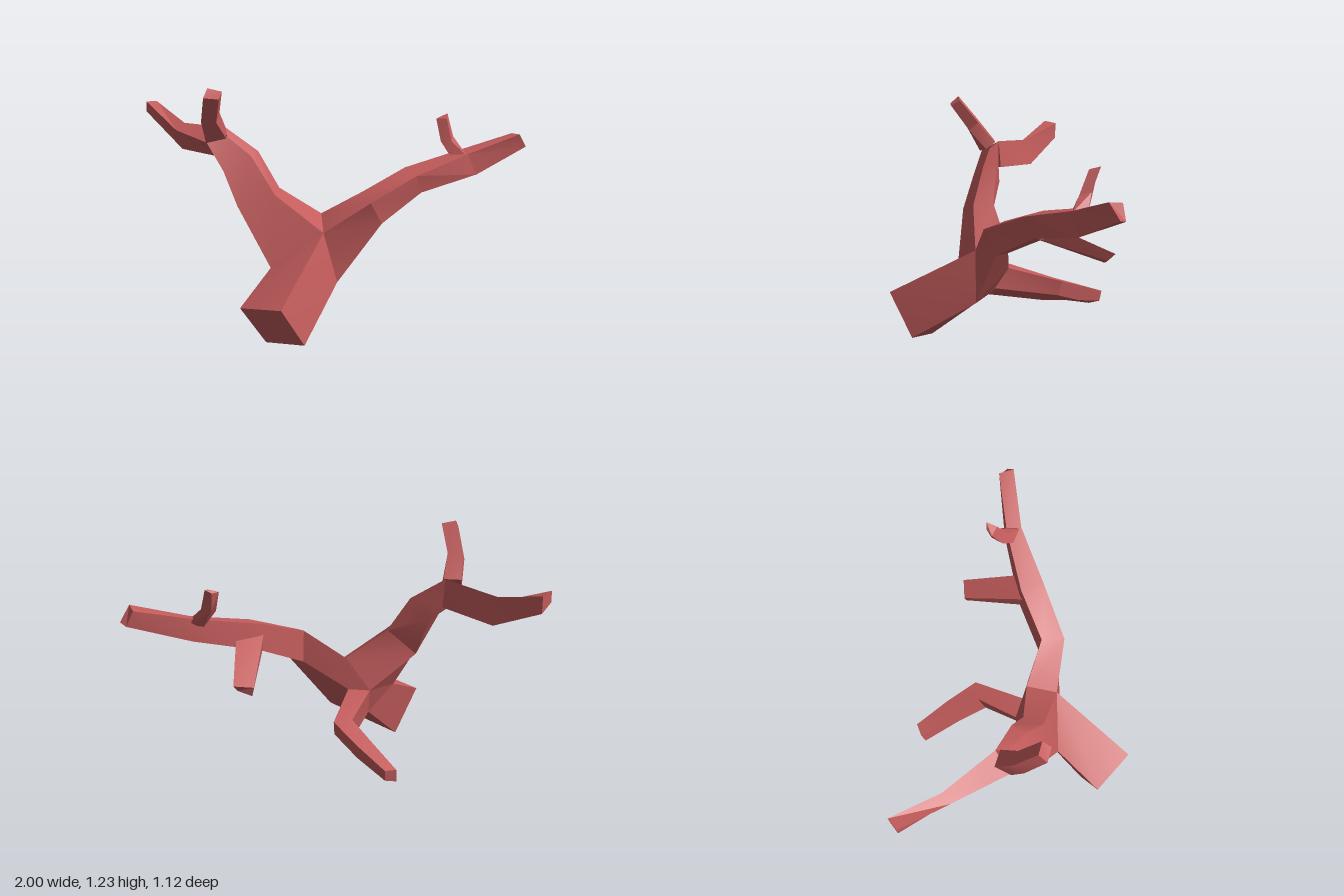
import * as THREE from 'three';
import { toCreasedNormals } from 'three/addons/utils/BufferGeometryUtils.js';
import { ConvexGeometry } from 'three/addons/geometries/ConvexGeometry.js';

const bark = new THREE.MeshStandardMaterial({ color: 0xc45c5c });
bark.name = 'red bark';

// Skins a row of four-cornered sections into a closed limb, facing outward
function limb(name, sections) {
  const tris = [];
  const quad = (a, b, c, d) => tris.push([a, b, c], [a, c, d]);
  for (let i = 0; i + 1 < sections.length; i++) {
    for (let j = 0; j < 4; j++) {
      const k = (j + 1) % 4;
      quad(sections[i][j], sections[i][k], sections[i + 1][k], sections[i + 1][j]);
    }
  }
  quad(...[...sections[0]].reverse());
  quad(...sections[sections.length - 1]);

  // Reverse the corners when the enclosed volume comes out negative
  let volume = 0;
  for (const t of tris) {
    const [a, b, c] = t.map((p) => new THREE.Vector3(...p));
    volume += a.dot(b.cross(c));
  }
  if (volume < 0) tris.forEach((t) => t.reverse());

  const geo = new THREE.BufferGeometry();
  geo.setAttribute('position', new THREE.Float32BufferAttribute(tris.flat(2), 3));
  const mesh = new THREE.Mesh(toCreasedNormals(geo, 0.4), bark);
  mesh.name = name;
  return mesh;
}

export function createModel() {
  const group = new THREE.Group();
  group.name = 'forkedBranch';

  // Corners shared by the limbs where they meet
  const crown = [0.02, 0.505, 0.12];
  const saddle = [-0.015, 0.56, -0.03];
  const hipRight = [-0.23, 0.34, 0.21];
  const hipLeft = [0.09, 0.25, 0.12];
  const belly = [-0.12, 0.24, 0.05];
  const backRight = [-0.14, 0.4, -0.05];
  const backLeft = [-0.03, 0.4, -0.05];

  // Core of the fork
  const hull = [crown, saddle, hipRight, hipLeft, belly, backRight, backLeft];
  const core = new THREE.Mesh(
    toCreasedNormals(new ConvexGeometry(hull.map((p) => new THREE.Vector3(...p))), 0.4), bark);
  core.name = 'forkCore';
  group.add(core);

  // Thick cut trunk
  group.add(limb('trunk', [
    [[-0.33, 0.22, 0.46], [-0.11, 0.26, 0.56], [-0.02, 0.04, 0.445], [-0.23, 0, 0.345]],
    [hipRight, crown, hipLeft, belly],
  ]));

  // Long left bough
  group.add(limb('leftBough', [
    [crown, hipLeft, backLeft, saddle],
    [[0.25, 0.66, 0.085], [0.3, 0.54, 0.03], [0.2, 0.53, -0.035], [0.2, 0.69, -0.02]],
    [[0.46, 0.76, -0.09], [0.48, 0.66, -0.14], [0.38, 0.64, -0.2], [0.39, 0.775, -0.19]],
    [[0.7, 0.83, -0.29], [0.75, 0.72, -0.31], [0.67, 0.73, -0.37], [0.65, 0.835, -0.35]],
    [[0.96, 0.915, -0.415], [0.995, 0.84, -0.46], [0.955, 0.83, -0.49], [0.92, 0.905, -0.48]],
  ]));

  // Twig standing on the left bough
  group.add(limb('leftUpperTwig', [
    [[0.625, 0.8, -0.29], [0.7, 0.82, -0.29], [0.69, 0.81, -0.36], [0.62, 0.8, -0.35]],
    [[0.56, 0.88, -0.34], [0.615, 0.885, -0.33], [0.62, 0.9, -0.385], [0.565, 0.9, -0.4]],
    [[0.53, 0.99, -0.385], [0.585, 0.995, -0.375], [0.585, 1.01, -0.43], [0.555, 0.99, -0.42]],
  ]));

  // Twig hanging behind the left bough
  group.add(limb('leftBackTwig', [
    [[0.37, 0.72, -0.17], [0.49, 0.71, -0.25], [0.47, 0.65, -0.18], [0.38, 0.64, -0.15]],
    [[0.35, 0.56, -0.49], [0.44, 0.575, -0.525], [0.43, 0.54, -0.49], [0.36, 0.515, -0.485]],
  ]));

  // Rising right bough
  group.add(limb('rightBough', [
    [crown, saddle, backRight, hipRight],
    [[-0.22, 0.69, 0.125], [-0.22, 0.7, 0.02], [-0.36, 0.58, 0.03], [-0.4, 0.64, 0.175]],
    [[-0.35, 0.87, 0.07], [-0.33, 0.88, 0], [-0.43, 0.78, -0.02], [-0.48, 0.8, 0.12]],
    [[-0.48, 0.955, 0.03], [-0.5, 0.99, -0.02], [-0.52, 0.85, -0.02], [-0.575, 0.93, 0.07]],
  ]));

  // Outer end of the right bough, bending back
  group.add(limb('rightOuterBranch', [
    [[-0.575, 0.93, 0.07], [-0.5, 0.99, -0.02], [-0.49, 0.85, -0.03], [-0.54, 0.85, 0.02]],
    [[-0.79, 0.935, -0.14], [-0.76, 0.965, -0.19], [-0.74, 0.83, -0.21], [-0.77, 0.83, -0.17]],
    [[-1, 1.045, -0.31], [-0.96, 1.035, -0.37], [-0.96, 0.95, -0.365], [-1, 0.99, -0.31]],
  ]));

  // Upright twig on the right bough, leaning forward
  group.add(limb('rightUpperTwig', [
    [[-0.575, 0.93, 0.08], [-0.48, 0.95, 0.05], [-0.49, 0.985, 0], [-0.575, 0.985, 0]],
    [[-0.58, 1.05, 0.145], [-0.505, 1.05, 0.14], [-0.5, 1.09, 0.09], [-0.575, 1.1, 0.09]],
    [[-0.54, 1.19, 0.24], [-0.465, 1.185, 0.235], [-0.46, 1.215, 0.19], [-0.53, 1.23, 0.195]],
  ]));

  // Low branch behind the trunk
  group.add(limb('lowBackBranch', [
    [backRight, backLeft, [-0.01, 0.3, 0.02], belly],
    [[-0.085, 0.335, -0.28], [0, 0.335, -0.32], [0, 0.262, -0.3], [-0.08, 0.215, -0.24]],
    [[-0.2, 0.275, -0.4], [-0.13, 0.275, -0.44], [-0.13, 0.2, -0.42], [-0.19, 0.185, -0.36]],
    [[-0.33, 0.2, -0.52], [-0.28, 0.21, -0.56], [-0.28, 0.155, -0.55], [-0.33, 0.13, -0.5]],
  ]));

  return group;
}
